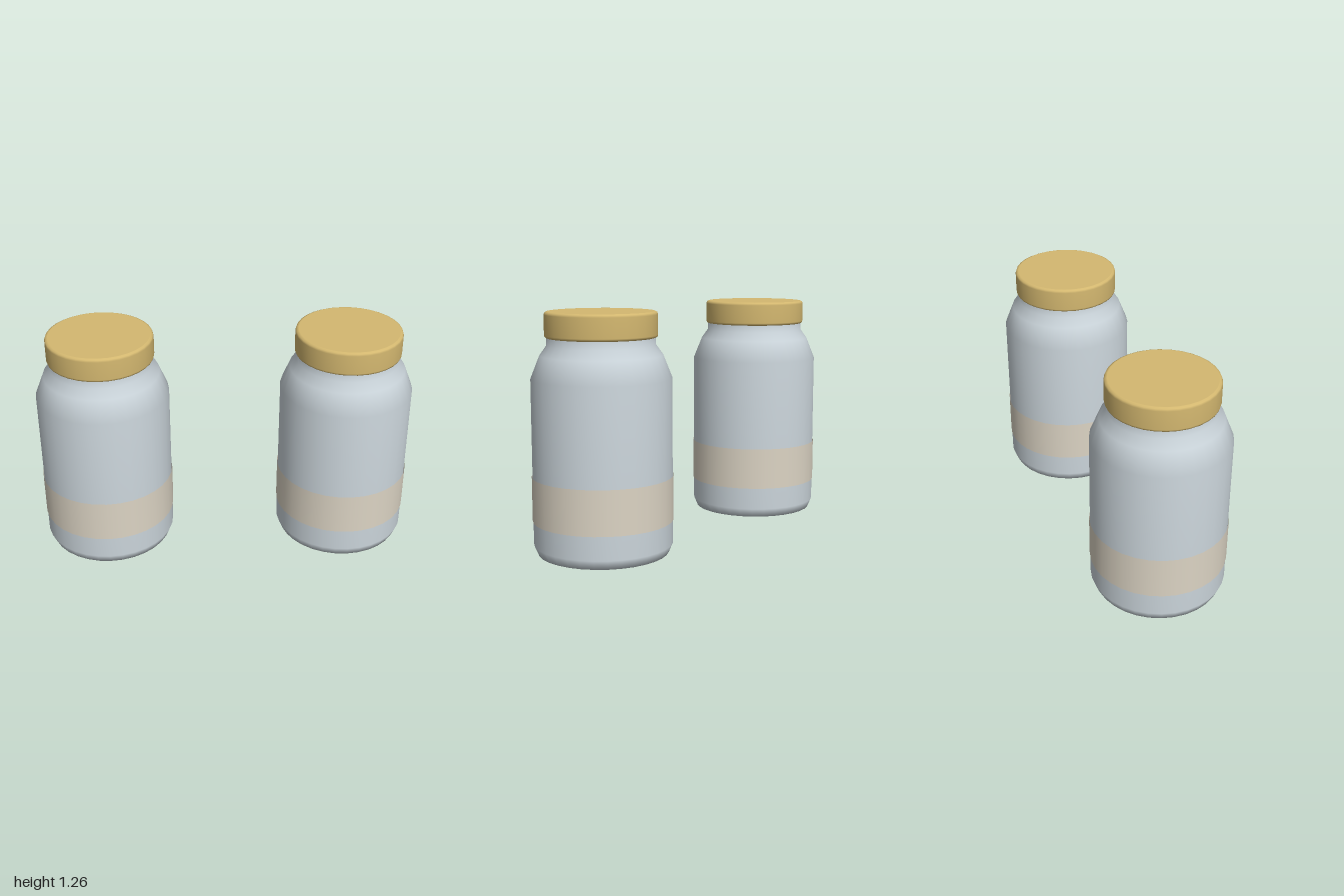
import * as THREE from 'three';

const glass = new THREE.MeshStandardMaterial({ color: 0xccd6dc });
glass.name = 'pale glass';
const paper = new THREE.MeshStandardMaterial({ color: 0xdcd4c4, side: THREE.DoubleSide });
paper.name = 'cream paper';
const brass = new THREE.MeshStandardMaterial({ color: 0xd4b870 });
brass.name = 'brass';

const SIDES = 32;

// Turned solid from [radius, height] pairs, listed from bottom to top
function turned(name, profile, material) {
  const points = profile.map(([r, y]) => new THREE.Vector2(r, y));
  const mesh = new THREE.Mesh(new THREE.LatheGeometry(points, SIDES), material);
  mesh.name = name;
  return mesh;
}

function createJar(name, x, z) {
  const jar = new THREE.Group();
  jar.name = name;
  jar.position.set(x, 0, z);

  // Closed body with chamfered base, sloping shoulder and neck
  jar.add(turned('body', [
    [0, 0], [0.345, 0], [0.366, 0.05], [0.366, 0.92],
    [0.318, 1.04], [0.282, 1.09], [0.28, 1.15],
  ], glass));

  // Paper band wrapped around the lower body
  const label = new THREE.Mesh(
    new THREE.CylinderGeometry(0.37, 0.37, 0.236, SIDES, 1, true), paper);
  label.name = 'label';
  label.position.y = 0.293;
  jar.add(label);

  // Lid with softened rims; doubled rings keep the top and underside flat
  jar.add(turned('lid', [
    [0, 1.13], [0.279, 1.13], [0.281, 1.13], [0.289, 1.134], [0.292, 1.144],
    [0.292, 1.248], [0.288, 1.259], [0.278, 1.264], [0.274, 1.264], [0, 1.264],
  ], brass));
  return jar;
}

export function createModel() {
  const model = new THREE.Group();
  model.name = 'jars';
  model.add(createJar('rightJar', -0.63, 0.242), createJar('leftJar', 0.63, -0.242));
  return model;
}
